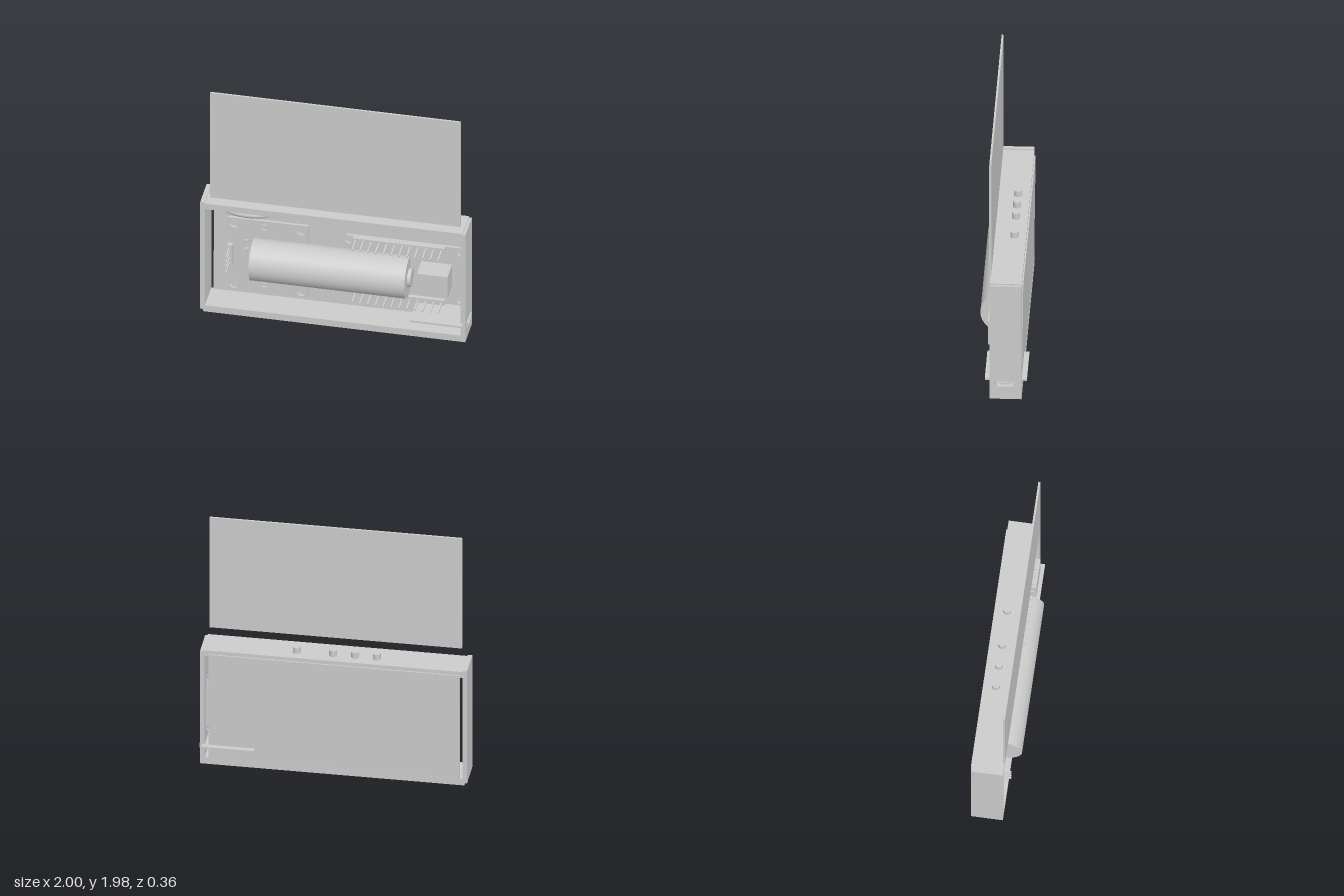
import * as THREE from 'three';

const material = new THREE.MeshStandardMaterial({ color: 0xcccccc });

export function createModel() {
  const model = new THREE.Group();

  function add(name, geometry, x = 0, y = 0, z = 0, parent = model) {
    const mesh = new THREE.Mesh(geometry, material);
    mesh.name = name;
    mesh.position.set(x, y, z);
    parent.add(mesh);
    return mesh;
  }
  // Box given by its limits on each axis
  function block(name, [x0, x1], [y0, y1], [z0, z1], parent = model) {
    return add(name, new THREE.BoxGeometry(x1 - x0, y1 - y0, z1 - z0),
      (x0 + x1) / 2, (y0 + y1) / 2, (z0 + z1) / 2, parent);
  }
  function rectangle(Type, x0, x1, y0, y1) {
    return new Type([[x0, y0], [x1, y0], [x1, y1], [x0, y1]].map(p => new THREE.Vector2(...p)));
  }
  function extrude(shape, depth) {
    return new THREE.ExtrudeGeometry(shape, { depth, bevelEnabled: false, curveSegments: 10 });
  }
  function group(name) {
    const g = new THREE.Group();
    g.name = name;
    model.add(g);
    return g;
  }
  // Circuit board with rounded corners and four mounting holes
  function circuitBoard(parent, [x0, x1], [y0, y1], z, depth, corner, xs, ys, holeRadius) {
    const s = new THREE.Shape();
    s.moveTo(x0 + corner, y0);
    s.absarc(x1 - corner, y0 + corner, corner, -Math.PI / 2, 0);
    s.absarc(x1 - corner, y1 - corner, corner, 0, Math.PI / 2);
    s.absarc(x0 + corner, y1 - corner, corner, Math.PI / 2, Math.PI);
    s.absarc(x0 + corner, y0 + corner, corner, Math.PI, Math.PI * 1.5);
    for (const x of xs) for (const y of ys) {
      const hole = new THREE.Path();
      hole.absarc(x, y, holeRadius, 0, Math.PI * 2, true);
      s.holes.push(hole);
    }
    add('circuitBoard', extrude(s, depth), 0, 0, z, parent);
  }

  // Case walls, back panel and raised front cover
  const depth = [-0.145, 0.09];
  const enclosure = group('case');
  block('leftEndWall', [-1, -0.965], [0.02, 0.98], depth, enclosure);
  block('topWall', [-0.98, 0.97], [0.92, 0.97], depth, enclosure);
  block('bottomWall', [-0.98, 0.97], [0, 0.055], depth, enclosure);
  const side = rectangle(THREE.Shape, -0.09, 0.145, 0, 0.96);
  side.holes.push(rectangle(THREE.Path, -0.05, 0.095, 0.1, 0.147));
  add('rightEndWall', extrude(side, 0.035), 0.955, 0, 0, enclosure).rotation.y = Math.PI / 2;
  const back = block('backPanel', [-0.945, 0.925], [0.025, 0.94], [-0.149, -0.137], enclosure);
  back.rotation.x = -0.012;
  block('frontCover', [-0.925, 0.955], [1.035, 1.975], [0.08, 0.095]);

  // Battery cell and its terminal
  const battery = group('battery');
  const cell = add('cell', new THREE.CylinderGeometry(0.16, 0.16, 1.17, 48), -0.035, 0.475, 0.02, battery);
  const cap = add('terminal', new THREE.CylinderGeometry(0.07, 0.07, 0.025, 32), 0.5625, 0.475, 0.02, battery);
  cell.rotation.z = cap.rotation.z = -Math.PI / 2;

  // Controller board with two pin rows and a tall component
  const controller = group('controllerBoard');
  circuitBoard(controller, [0.04, 0.955], [0.225, 0.735], -0.075, 0.02, 0.04,
    [0.085, 0.925], [0.265, 0.69], 0.029);
  for (const y of [0.245, 0.713]) {
    block('pinStrip', [0.12, 0.81], [y - 0.021, y + 0.021], [-0.055, -0.025], controller);
    for (let i = 0; i < 12; i++) {
      add('pin', new THREE.BoxGeometry(0.012, 0.012, 0.165), 0.142 + i * 0.0587, y, 0.0225, controller);
    }
  }
  block('tallComponent', [0.63, 0.86], [0.385, 0.58], [-0.055, 0.11], controller);

  // Sensor board with small surface parts and a four-pin connector
  const sensor = group('sensorBoard');
  circuitBoard(sensor, [-0.82, -0.215], [0.14, 0.78], -0.06, 0.02, 0.002,
    [-0.77, -0.265], [0.19, 0.735], 0.041);
  block('pinStrip', [-0.82, -0.778], [0.37, 0.552], [-0.04, -0.005], sensor);
  for (let i = 0; i < 4; i++) {
    add('pin', new THREE.BoxGeometry(0.012, 0.012, 0.165), -0.8, 0.395 + i * 0.045, 0.0425, sensor);
  }
  for (const y of [0.742, 0.698, 0.32, 0.27, 0.23, 0.188]) {
    add('smallChip', new THREE.BoxGeometry(0.034, 0.018, 0.012), -0.545, y, -0.034, sensor);
  }
  add('smallChip', new THREE.BoxGeometry(0.03, 0.018, 0.012), -0.68, 0.59, -0.034, sensor);
  add('smallChip', new THREE.BoxGeometry(0.016, 0.034, 0.012), -0.655, 0.265, -0.034, sensor);
  add('transistor', new THREE.BoxGeometry(0.02, 0.042, 0.02), -0.677, 0.507, -0.03, sensor);
  for (const [x, y] of [[-0.693, 0.507], [-0.662, 0.522], [-0.662, 0.492]]) {
    add('transistorLeg', new THREE.BoxGeometry(0.016, 0.008, 0.008), x, y, -0.036, sensor);
  }
  add('mainChip', new THREE.BoxGeometry(0.14, 0.14, 0.02), -0.42, 0.54, -0.03, sensor);

  // Charging board and its hollow socket
  const charger = group('chargingBoard');
  block('board', [0.578, 0.975], [0.15, 0.165], [-0.183, 0.127], charger);
  const socket = rectangle(THREE.Shape, -0.045, 0.095, 0.104, 0.146);
  socket.holes.push(rectangle(THREE.Path, -0.037, 0.087, 0.112, 0.138));
  add('socketShell', extrude(socket, 0.11), 0.89, 0, 0, charger).rotation.y = Math.PI / 2;
  block('socketBack', [0.888, 0.9], [0.106, 0.144], [-0.093, 0.043], charger);
  block('socketTongue', [0.9, 0.985], [0.121, 0.129], [-0.065, 0.015], charger);
  for (const x of [0.62, 0.69]) {
    add('chargerChip', new THREE.BoxGeometry(0.05, 0.012, 0.06), x, 0.145, 0.03, charger);
  }

  // Push buttons through the top wall
  for (const x of [-0.313, -0.152, 0.012, 0.283]) {
    const button = group('pushButton');
    button.position.set(x, 0, -0.057);
    add('buttonCap', new THREE.CylinderGeometry(0.029, 0.031, 0.14, 24), 0, 0.948, 0, button);
    add('buttonBody', new THREE.BoxGeometry(0.096, 0.042, 0.096), 0, 0.902, 0, button);
    for (const sx of [-1, 1]) for (const sz of [-1, 1]) {
      add('buttonLeg', new THREE.BoxGeometry(0.008, 0.07, 0.012), sx * 0.05, 0.872, sz * 0.035, button);
    }
  }

  // Flattened round part under the top wall
  add('ovalBuzzer', new THREE.SphereGeometry(1, 40, 20), -0.66, 0.882, 0).scale.set(0.18, 0.041, 0.065);

  return model;
}
